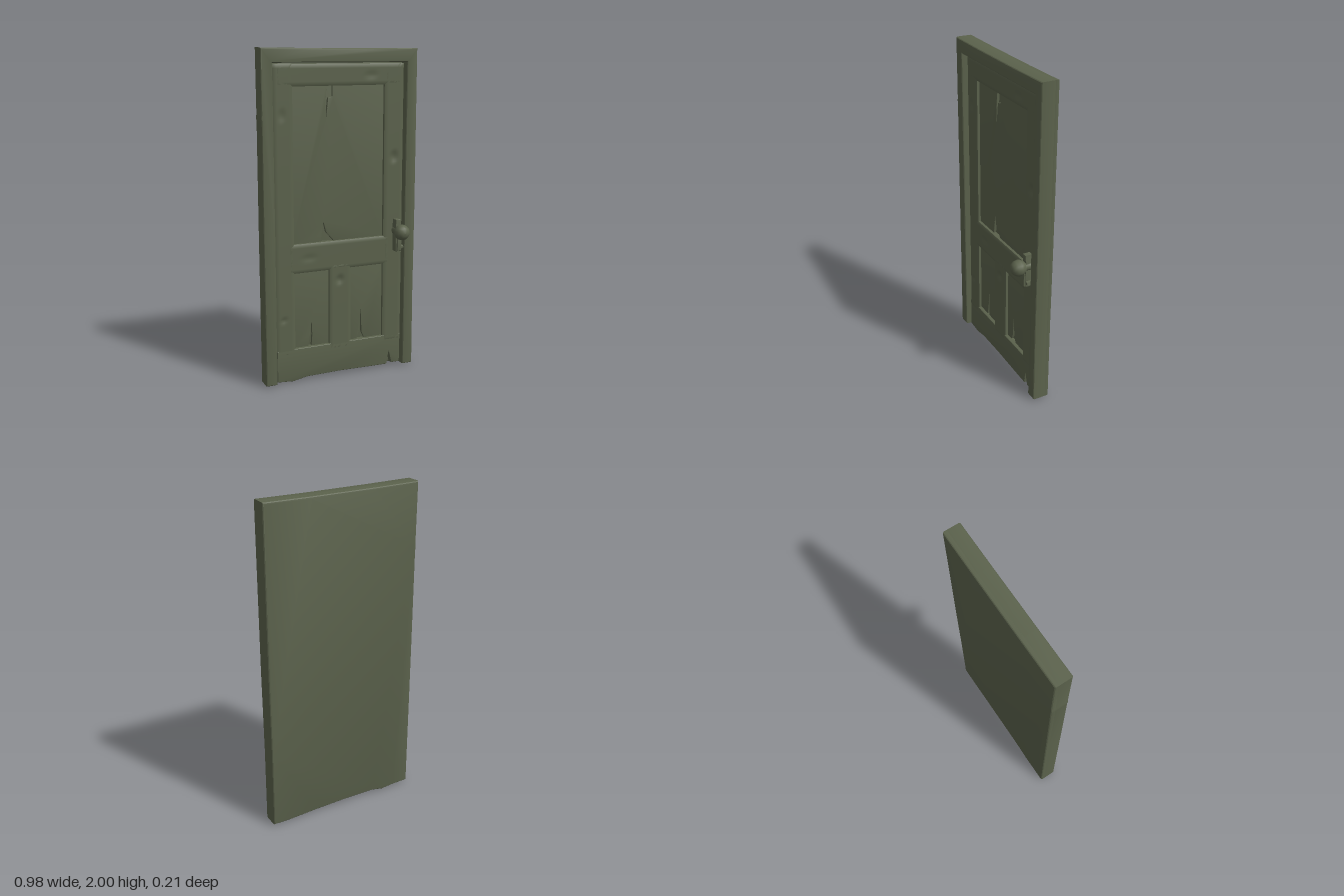
import * as THREE from 'three';
import { toCreasedNormals } from 'three/addons/utils/BufferGeometryUtils.js';

const paint = new THREE.MeshStandardMaterial({ color: 0x5b624c });
paint.name = 'mossy green';

const pts = (list) => list.map(([x, y]) => new THREE.Vector2(x, y));

// board cut to an outline, with softened edges, filling z0..z1 exactly
function board(name, outline, z0, z1, bevel) {
  const geo = new THREE.ExtrudeGeometry(new THREE.Shape(pts(outline)), {
    depth: z1 - z0 - 2 * bevel, bevelEnabled: true, bevelThickness: bevel,
    bevelSize: bevel, bevelOffset: -bevel, bevelSegments: 3,
  });
  geo.translate(0, 0, z0 + bevel);
  const mesh = new THREE.Mesh(toCreasedNormals(geo, 0.4), paint);
  mesh.name = name;
  return mesh;
}

// shallow dents: x, y, half width, half height, depth
const dents = [
  [0.355, 1.35, 0.035, 0.05, 0.01], [-0.003, 0.615, 0.035, 0.04, 0.01],
  [-0.365, 0.4, 0.03, 0.025, 0.007], [-0.36, 1.62, 0.03, 0.05, 0.005],
  [0.2, 1.84, 0.06, 0.03, 0.004], [-0.2, 0.77, 0.07, 0.03, 0.004],
];

// dented plank with a chamfered front
function plank(name, x0, y0, x1, y1, z0, z1) {
  const w = x1 - x0, h = y1 - y0, step = 0.012;
  const geo = new THREE.BoxGeometry(w, h, z1 - z0, Math.round(w / step), Math.round(h / step), 1);
  geo.translate((x0 + x1) / 2, (y0 + y1) / 2, (z0 + z1) / 2);
  const p = geo.attributes.position;
  for (let i = 0; i < p.count; i++) {
    if (p.getZ(i) < z1 - 0.001) continue;
    const x = p.getX(i), y = p.getY(i);
    const edge = Math.min(x - x0, x1 - x, y - y0, y1 - y);
    let z = z1 - (edge < 0.001 ? 0.006 : 0);
    dents.forEach(([cx, cy, a, b, d]) => {
      const r = ((x - cx) / a) ** 2 + ((y - cy) / b) ** 2;
      z -= d * Math.max(0, 1 - r) ** 2;
    });
    p.setZ(i, z);
  }
  const mesh = new THREE.Mesh(toCreasedNormals(geo, 0.7), paint);
  mesh.name = name;
  return mesh;
}

export function createModel() {
  const door = new THREE.Group();
  door.name = 'weatheredDoor';

  // slightly uneven outer sides, shared by backing and surround
  const rim = [
    [0.488, 0.01], [0.486, 0.5], [0.489, 1.0], [0.488, 1.996], [0.2, 1.994], [-0.2, 1.996],
    [-0.49, 2], [-0.489, 1.63], [-0.492, 1.61], [-0.489, 1.59], [-0.491, 0.9], [-0.491, 0.01],
  ];

  // solid backing
  door.add(board('backing', [
    [-0.38, 0.008], [-0.3, 0.001], [-0.22, 0.018], [0, 0.02], [0.2, 0.016], [0.38, 0.008], ...rim,
  ], -0.104, -0.066, 0.012));

  // surround: two posts and a head
  door.add(board('surround', [
    [0.42, 0.01], ...rim,
    [-0.421, 0.01], [-0.419, 1.0], [-0.42, 1.916], [0.42, 1.914], [0.418, 1.0],
  ], -0.092, 0.003, 0.01));

  // door leaf: stiles and rails overlap so their joints are seamless
  const leafBack = -0.08, leafFront = -0.028;
  [
    ['leftStile', -0.412, 0.17, -0.294, 1.91],
    ['rightStile', 0.29, 0.17, 0.415, 1.907],
    ['topRail', -0.395, 1.783, 0.396, 1.908],
    ['middleRail', -0.33, 0.683, 0.33, 0.86],
    ['centrePost', -0.07, 0.17, 0.07, 0.72],
  ].forEach(([name, ...size]) => door.add(plank(name, ...size, leafBack, leafFront)));
  // bottom rail with a worn, split lower edge
  door.add(board('bottomRail', [
    [-0.411, 0.012], [-0.31, 0.003], [-0.22, 0.02], [0, 0.022], [0.2, 0.016], [0.322, 0.014],
    [0.336, 0.1], [0.355, 0.018], [0.412, 0.018], [0.414, 0.21], [-0.412, 0.21],
  ], leafBack, leafFront, 0.006));

  // sunken panels, cracked along the grain
  const panelBack = -0.08, panelFront = -0.05;
  door.add(board('upperPanel', [
    [-0.305, 0.85], [-0.118, 0.85], [-0.112, 0.9], [-0.1, 0.98], [-0.085, 0.915], [-0.04, 0.865],
    [-0.035, 0.85], [0.3, 0.85], [0.3, 1.8], [-0.04, 1.8], [-0.04, 1.72], [-0.068, 1.715],
    [-0.08, 1.6], [-0.083, 1.69], [-0.074, 1.8], [-0.305, 1.8],
  ], panelBack, panelFront, 0.003));
  door.add(board('lowerLeftPanel', [
    [-0.305, 0.2], [-0.206, 0.2], [-0.19, 0.29], [-0.182, 0.375], [-0.178, 0.28], [-0.184, 0.2],
    [-0.06, 0.2], [-0.06, 0.695], [-0.305, 0.695],
  ], panelBack, panelFront, 0.002));
  door.add(board('lowerRightPanel', [
    [0.06, 0.2], [0.115, 0.2], [0.135, 0.25], [0.148, 0.4], [0.153, 0.25], [0.175, 0.2],
    [0.3, 0.2], [0.3, 0.695], [0.06, 0.695],
  ], panelBack, panelFront, 0.002));

  // handle: backplate, key cover and knob
  const handle = new THREE.Group();
  handle.name = 'handle';
  handle.add(board('backplate', [
    [0.354, 0.765], [0.392, 0.765], [0.393, 0.78], [0.41, 0.784], [0.406, 0.8], [0.392, 0.803],
    [0.393, 0.92], [0.386, 0.945], [0.384, 0.965], [0.354, 0.965], [0.352, 0.92],
  ], -0.04, 0.016, 0.004));
  handle.add(board('keyCover', [
    [0.36, 0.768], [0.388, 0.768], [0.388, 0.85], [0.36, 0.85],
  ], 0, 0.026, 0.005));
  const knobGeo = new THREE.LatheGeometry(pts([
    [0.03, -0.03], [0.027, 0.014], [0.04, 0.028], [0.049, 0.05], [0.045, 0.074],
    [0.032, 0.092], [0.015, 0.1], [0, 0.102],
  ]), 14);
  knobGeo.rotateX(Math.PI / 2);
  const knob = new THREE.Mesh(knobGeo, paint);
  knob.name = 'knob';
  knob.position.set(0.374, 0.893, 0);
  handle.add(knob);
  door.add(handle);

  return door;
}
